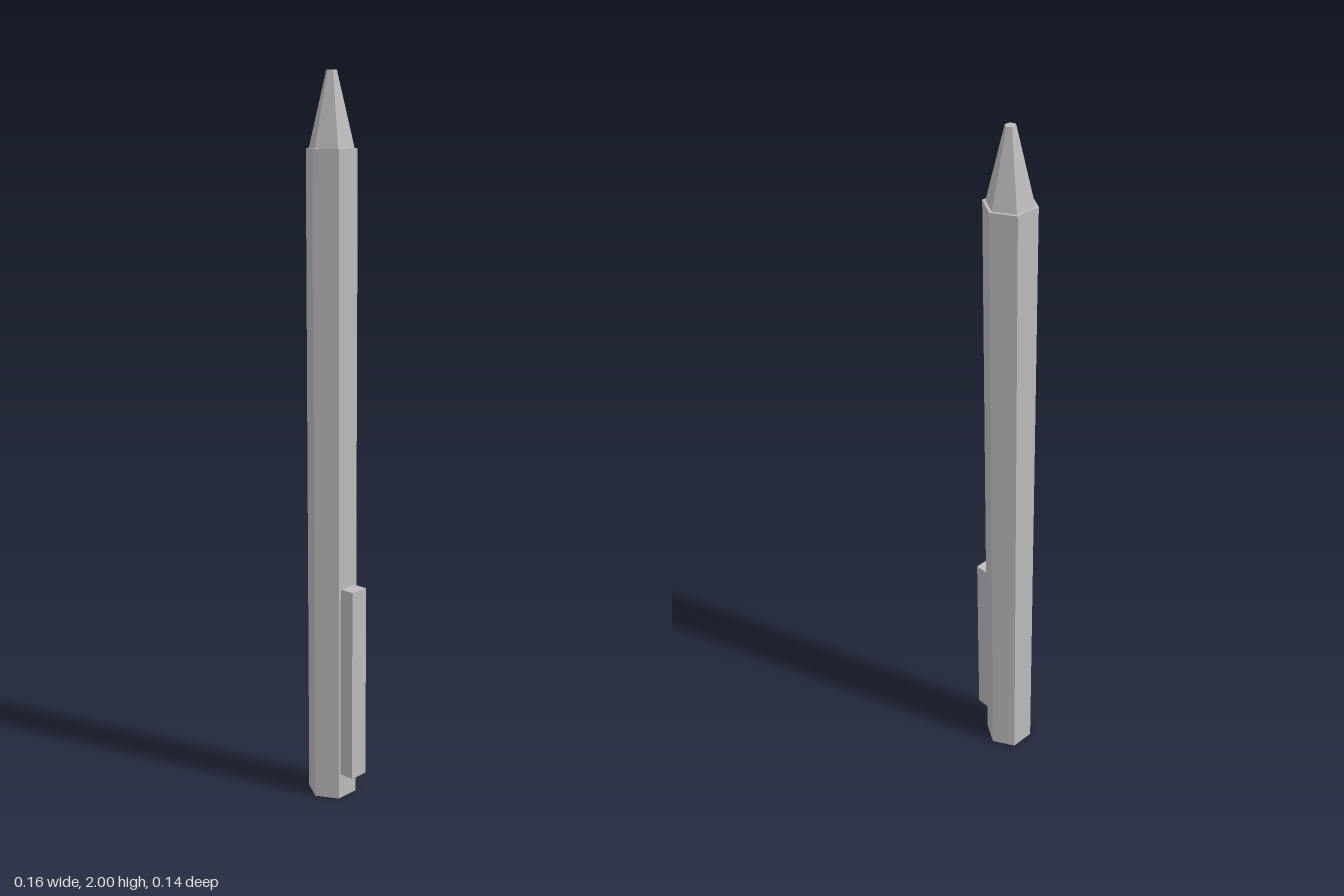
import * as THREE from 'three';

export function createModel() {
  const group = new THREE.Group();
  const gray = new THREE.MeshStandardMaterial({ color: 0xbcbcbc });
  gray.name = 'light gray';

  const add = (name, geometry, x, y, z = 0) => {
    // separate vertices per face keep the facets flat
    const flat = geometry.toNonIndexed();
    flat.computeVertexNormals();
    const mesh = new THREE.Mesh(flat, gray);
    mesh.name = name;
    mesh.position.set(x, y, z);
    group.add(mesh);
  };

  const axisX = -0.023;
  const bodyHeight = 1.805;
  const tipHeight = 2 - bodyHeight;

  // hexagonal barrel, corners at front and back
  add('barrel', new THREE.CylinderGeometry(0.069, 0.069, bodyHeight, 6), axisX, bodyHeight / 2);
  // tapered writing tip with a small flat end
  add('tip', new THREE.CylinderGeometry(0.014, 0.061, tipHeight, 6), axisX, bodyHeight + tipHeight / 2);
  // pocket clip against the flat side of the barrel
  add('clip', new THREE.BoxGeometry(0.044, 0.553, 0.055), 0.059, 0.35);

  return group;
}
